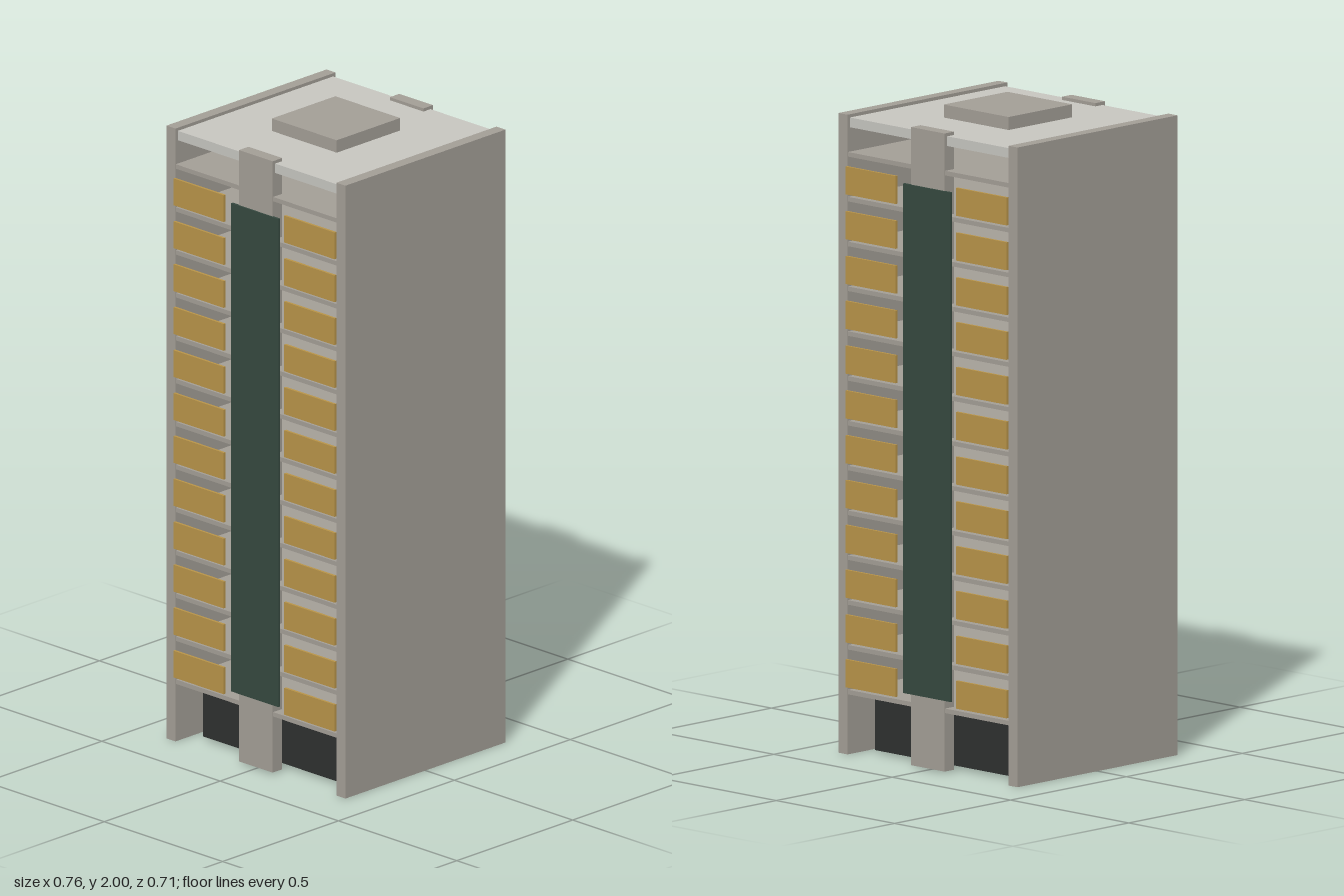
import * as THREE from 'three';

const mat = (color) => new THREE.MeshStandardMaterial({ color });
const concrete = mat(0xa49f97);
const roofGrey = mat(0xc8c7c1);
const gold = mat(0xb99549);
const green = mat(0x364940);
const black = mat(0x2f3130);

// Box given by its minimum and maximum along each axis
function box(name, material, [x0, x1], [y0, y1], [z0, z1]) {
  const mesh = new THREE.Mesh(new THREE.BoxGeometry(x1 - x0, y1 - y0, z1 - z0), material);
  mesh.position.set((x0 + x1) / 2, (y0 + y1) / 2, (z0 + z1) / 2);
  mesh.name = name;
  return mesh;
}

export function createModel() {
  const tower = new THREE.Group();
  tower.name = 'towerBlock';
  const storeys = 12, storeyHeight = 0.138, firstFloor = 0.192;

  // Blank end walls
  tower.add(box('leftWall', concrete, [0.34, 0.378], [0, 1.97], [-0.345, 0.345]));
  tower.add(box('rightWall', concrete, [-0.378, -0.34], [0, 1.97], [-0.345, 0.345]));

  // Recessed ground storey
  tower.add(box('base', black, [-0.292, 0.292], [0.01, 0.183], [-0.275, 0.275]));

  // Floor slabs
  for (let i = 0; i <= storeys; i++) {
    const y = firstFloor + i * storeyHeight;
    tower.add(box('floorSlab', concrete, [-0.34, 0.34], [y - 0.007, y + 0.007], [-0.344, 0.344]));
  }

  // Roof and plant room
  tower.add(box('roof', roofGrey, [-0.34, 0.34], [1.93, 1.96], [-0.335, 0.335]));
  tower.add(box('roofHousing', concrete, [-0.137, 0.137], [1.96, 2], [-0.137, 0.137]));

  // The same facade on front and back
  for (const side of ['front', 'back']) {
    const facade = new THREE.Group();
    facade.name = side + 'Facade';
    facade.add(box('pillar', concrete, [-0.071, 0.071], [0.005, 1.97], [0.305, 0.346]));
    facade.add(box('centralStrip', green, [-0.1, 0.1], [0.224, 1.793], [0.343, 0.351]));
    for (let i = 0; i < storeys; i++) {
      const y = 0.208 + i * storeyHeight;
      facade.add(box('leftBalconyPanel', gold, [0.128, 0.34], [y, y + 0.086], [0.346, 0.354]));
      facade.add(box('rightBalconyPanel', gold, [-0.34, -0.128], [y, y + 0.086], [0.346, 0.354]));
    }
    if (side === 'back') facade.rotation.y = Math.PI;
    tower.add(facade);
  }
  return tower;
}
